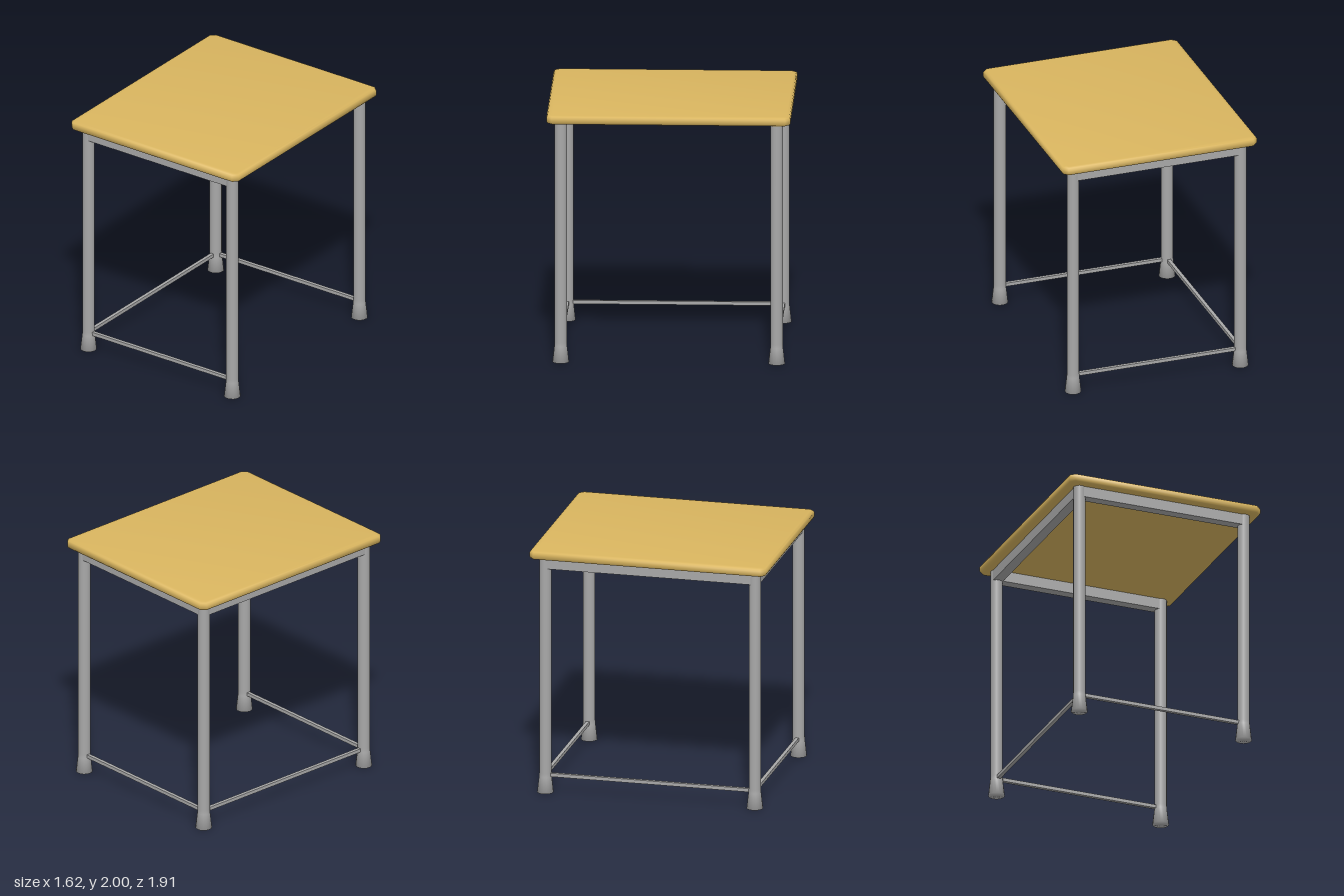
import * as THREE from 'three';
import { toCreasedNormals } from 'three/addons/utils/BufferGeometryUtils.js';

const wood = new THREE.MeshStandardMaterial({ name: 'honey wood', color: 0xd9b55f });
const metal = new THREE.MeshStandardMaterial({ name: 'grey metal', color: 0xa8a8a8 });

const LEG_X = 0.695, LEG_Z = 0.845;

// Slab with clipped corners and a softened rim
function tabletop() {
  const x = 0.78, z = 0.925, c = 0.022;
  const outline = new THREE.Shape([
    [x, -z + c], [x, z - c], [x - c, z], [-x + c, z],
    [-x, z - c], [-x, -z + c], [-x + c, -z], [x - c, -z],
  ].map(([a, b]) => new THREE.Vector2(a, b)));
  const slab = new THREE.ExtrudeGeometry(outline, {
    depth: 0.03, bevelThickness: 0.02, bevelSize: 0.03, bevelSegments: 2,
  });
  slab.rotateX(-Math.PI / 2).translate(0, 1.95, 0);
  return toCreasedNormals(slab, 1.0);
}

export function createModel() {
  const group = new THREE.Group();
  group.name = 'table';

  const add = (name, geometry, material, x = 0, y = 0, z = 0) => {
    const mesh = new THREE.Mesh(geometry, material);
    mesh.name = name;
    mesh.position.set(x, y, z);
    group.add(mesh);
  };

  add('tabletop', tabletop(), wood);

  // Round legs flaring into feet
  const profile = [[0, 0], [0.065, 0], [0.05, 0.13], [0.048, 0.16], [0.048, 1.94]]
    .map(([r, y]) => new THREE.Vector2(r, y));
  const leg = new THREE.LatheGeometry(profile, 16);
  for (const [sx, side] of [[1, 'left'], [-1, 'right']]) {
    for (const [sz, end] of [[1, 'front'], [-1, 'back']]) {
      add(`${end} ${side} leg`, leg, metal, sx * LEG_X, 0, sz * LEG_Z);
    }
  }

  // Aprons under the top and thin stretchers near the floor; the +x side stays open
  for (const [name, y, height, depth] of [['apron', 1.8875, 0.09, 0.08], ['stretcher', 0.145, 0.028, 0.028]]) {
    const across = new THREE.BoxGeometry(2 * LEG_X, height, depth);
    add(`front ${name}`, across, metal, 0, y, LEG_Z);
    add(`back ${name}`, across, metal, 0, y, -LEG_Z);
    add(`right ${name}`, new THREE.BoxGeometry(depth, height, 2 * LEG_Z), metal, -LEG_X, y, 0);
  }

  return group;
}
